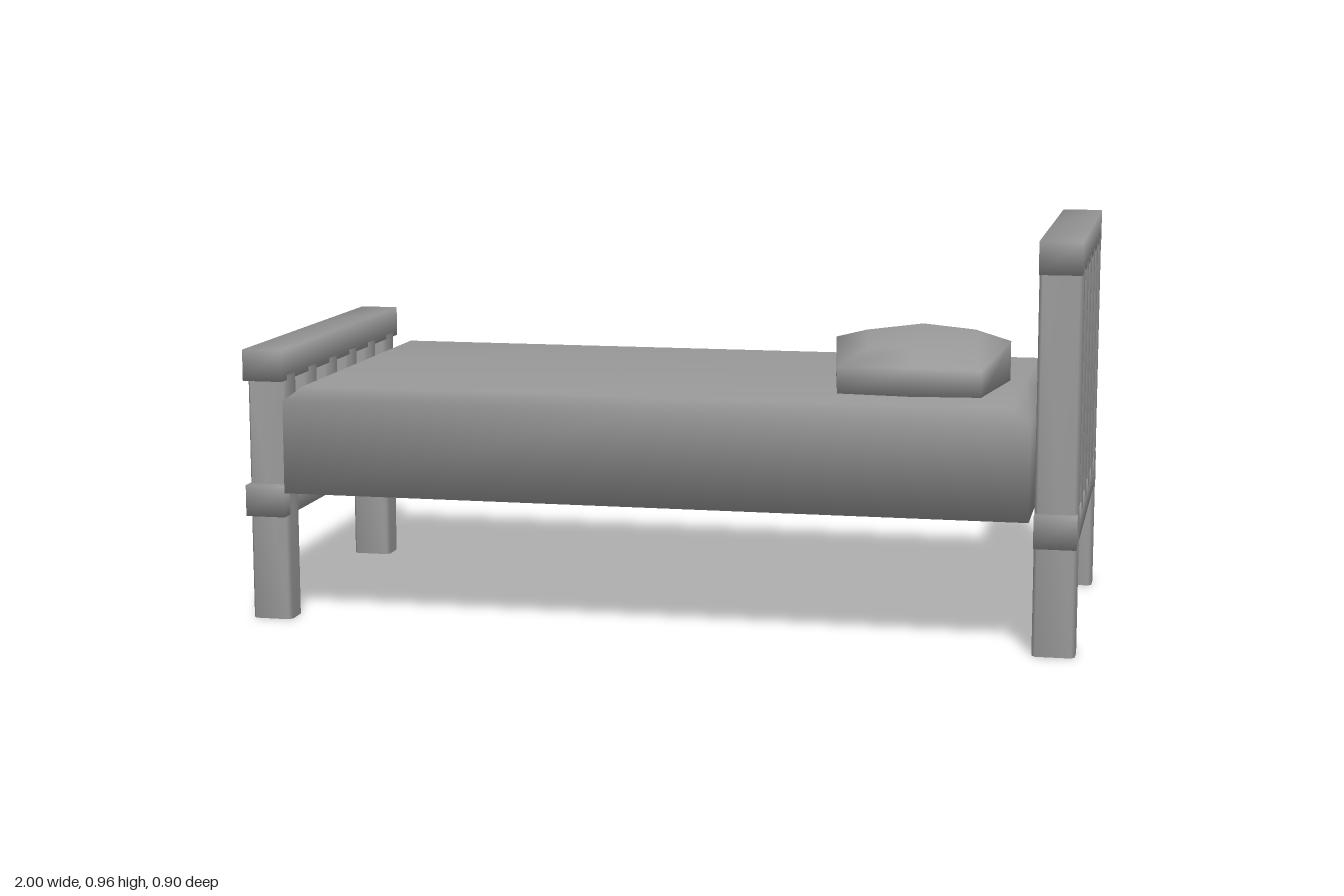
import * as THREE from 'three';
import { mergeVertices } from 'three/addons/utils/BufferGeometryUtils.js';

// Weld corners so the shading runs smoothly over the edges
function smooth(geometry) {
  geometry.deleteAttribute('uv');
  geometry.deleteAttribute('normal');
  const welded = mergeVertices(geometry, 1e-4);
  welded.computeVertexNormals();
  return welded;
}

// Upright bar with chamfered vertical edges, from y0 to y1
function barGeometry(y0, y1) {
  const a = 0.05, b = 0.038, cx = 0.008, cz = 0.012;
  const shape = new THREE.Shape([
    [a, -b + cz], [a, b - cz], [a - cx, b], [-a + cx, b],
    [-a, b - cz], [-a, -b + cz], [-a + cx, -b], [a - cx, -b],
  ].map(([x, y]) => new THREE.Vector2(x, y)));
  const geometry = new THREE.ExtrudeGeometry(shape, { depth: y1 - y0, bevelEnabled: false });
  geometry.rotateX(-Math.PI / 2).translate(0, y0, 0);
  return smooth(geometry);
}

// Mattress: a box whose top edge is chamfered
function mattressGeometry() {
  const geometry = new THREE.BoxGeometry(1.79, 0.26, 0.9, 2, 2, 2);
  const p = geometry.attributes.position;
  for (let i = 0; i < p.count; i++) {
    const y = p.getY(i);
    if (y > 0.1) p.setXYZ(i, p.getX(i) * (0.85 / 0.895), 0.58, p.getZ(i) * (0.428 / 0.45));
    else p.setY(i, y < -0.1 ? 0.32 : 0.545);
  }
  return smooth(geometry.translate(-0.005, 0, 0));
}

// Pillow: vertical sides up to a wavy rim, then a domed top
function pillowGeometry() {
  const outline = [
    [0.215, 0, 0.677], [0.17, 0.295, 0.642], [0, 0.312, 0.648], [-0.17, 0.295, 0.642],
    [-0.215, 0, 0.677], [-0.17, -0.295, 0.642], [0, -0.312, 0.648], [0.17, -0.295, 0.642],
  ];
  const n = outline.length, peak = 0.715, positions = [], index = [];
  const ring = (scale, height) =>
    outline.forEach(([x, z, y]) => positions.push(x * scale, height(y), z * scale));
  ring(1, () => 0.575);
  ring(1, (y) => y);
  ring(0.65, (y) => y + (peak - y) * 0.5);
  positions.push(0, peak, 0, 0, 0.575, 0);
  for (let i = 0; i < n; i++) {
    const j = (i + 1) % n;
    for (let r = 0; r < 2; r++) {
      const a = r * n + i, b = r * n + j;
      index.push(a, a + n, b, b, a + n, b + n);
    }
    index.push(2 * n + i, 3 * n, 2 * n + j); // top
    index.push(i, j, 3 * n + 1); // underside
  }
  const geometry = new THREE.BufferGeometry();
  geometry.setAttribute('position', new THREE.Float32BufferAttribute(positions, 3));
  geometry.setIndex(index);
  geometry.computeVertexNormals();
  return geometry.translate(0.592, 0, -0.012);
}

export function createModel() {
  const grey = new THREE.MeshStandardMaterial({ color: 0x999999 });
  grey.name = 'plain grey';
  const bed = new THREE.Group();
  bed.name = 'bed';

  const add = (parent, name, geometry, x = 0, y = 0, z = 0) => {
    const mesh = new THREE.Mesh(geometry, grey);
    mesh.name = name;
    mesh.position.set(x, y, z);
    parent.add(mesh);
  };

  // End board: two posts, four slats, a top rail and a lower rail
  const addBoard = (name, x, barTop, railTop) => {
    const board = new THREE.Group();
    board.name = name;
    board.position.x = x;
    const post = barGeometry(0, barTop);
    const slat = barGeometry(0.315, barTop);
    const rail = smooth(new THREE.BoxGeometry(0.098, 0.076, 0.9, 1, 1, 2));
    for (const side of [-1, 1]) {
      add(board, 'post', post, 0, 0, side * 0.383);
      for (const z of [0.077, 0.23]) add(board, 'slat', slat, 0, 0, side * z);
    }
    add(board, 'topRail', rail, 0, railTop - 0.038);
    add(board, 'lowerRail', rail, 0, 0.298);
    bed.add(board);
  };
  addBoard('headboard', 0.95, 0.9, 0.965);
  addBoard('footboard', -0.95, 0.603, 0.668);

  add(bed, 'mattress', mattressGeometry());
  add(bed, 'pillow', pillowGeometry());
  return bed;
}
